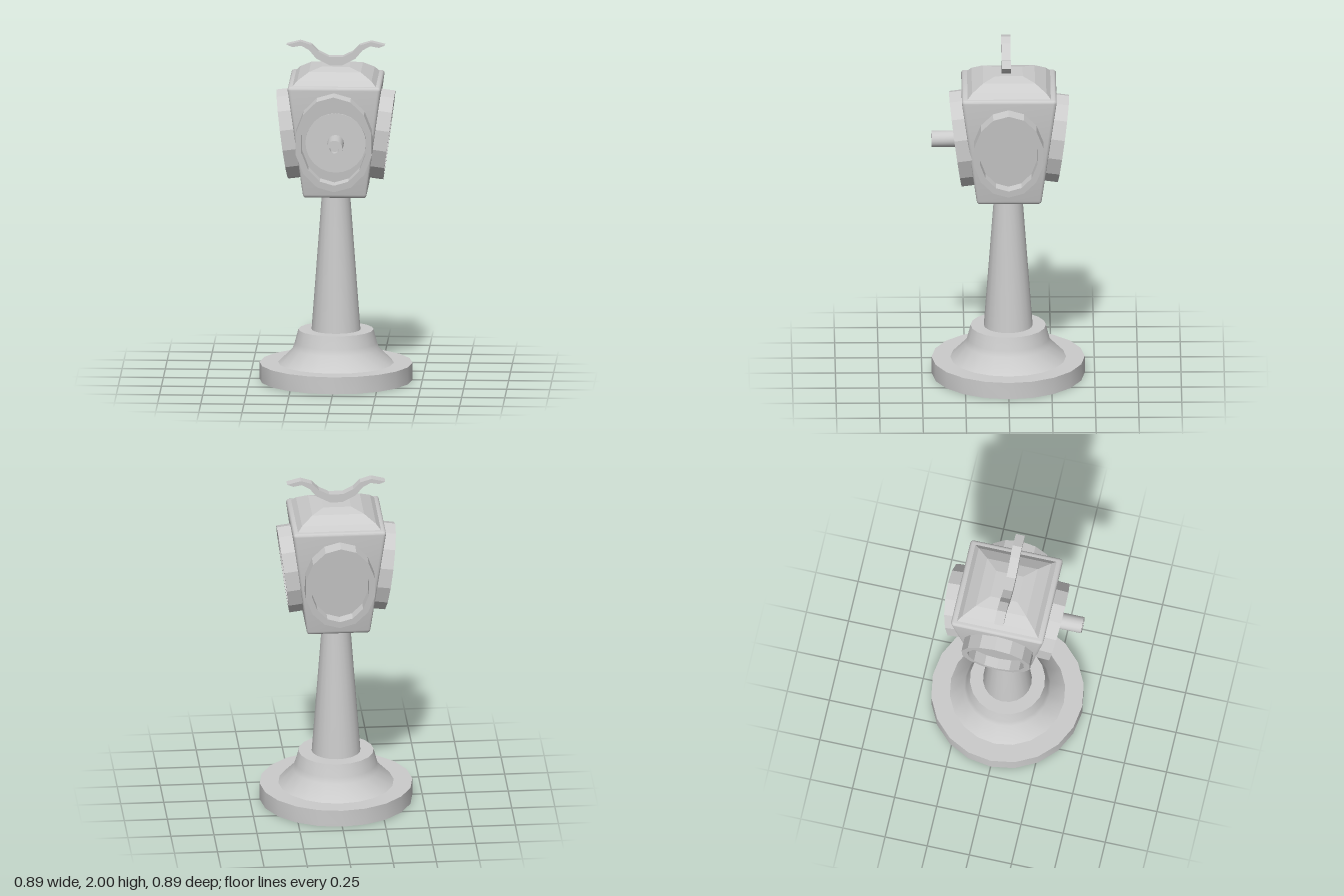
import * as THREE from 'three';
import { toCreasedNormals } from 'three/addons/utils/BufferGeometryUtils.js';
import { RoundedBoxGeometry } from 'three/addons/geometries/RoundedBoxGeometry.js';

const smooth = new THREE.MeshStandardMaterial({ color: 0xcccccc });
const flat = new THREE.MeshStandardMaterial({ color: 0xcccccc, flatShading: true });

function part(name, geometry, material = smooth) {
  const mesh = new THREE.Mesh(geometry, material);
  mesh.name = name;
  return mesh;
}

function turned(points, sides, start = 0) {
  const profile = points.map(([r, y]) => new THREE.Vector2(r, y));
  return toCreasedNormals(new THREE.LatheGeometry(profile, sides, start), 0.6);
}

// 14-sided oval with a corner at the top
function oval(rx, ry) {
  const pts = [];
  for (let i = 0; i < 14; i++) {
    const a = (i / 14) * Math.PI * 2;
    pts.push(new THREE.Vector2(-Math.sin(a) * rx, Math.cos(a) * ry));
  }
  return pts;
}

// Oval bezel with a recessed pane, leaning with the wall of the head
function window_(name, angle, front, rx, ry) {
  const turn = new THREE.Group();
  turn.name = name;
  turn.rotation.y = angle;
  const lean = new THREE.Group();
  lean.position.set(0, 1.445, front);
  lean.rotation.x = 0.132;
  turn.add(lean);

  const ring = new THREE.Shape(oval(rx, ry));
  ring.holes.push(new THREE.Path(oval(rx - 0.036, ry - 0.04)));
  const bezel = part('bezel', new THREE.ExtrudeGeometry(ring, { depth: 0.11, bevelEnabled: false }), flat);
  bezel.position.z = -0.11;
  const pane = part('pane', new THREE.ShapeGeometry(new THREE.Shape(oval(rx - 0.03, ry - 0.03))), flat);
  pane.position.z = -0.06;
  lean.add(bezel, pane);
  return turn;
}

export function createModel() {
  const model = new THREE.Group();
  model.name = 'pedestalViewer';

  // Base, plinth and tapered column
  model.add(part('base', turned([[0, 0], [0.443, 0], [0.443, 0.1], [0, 0.1]], 20)));
  model.add(part('plinth', turned([[0.335, 0.1], [0.25, 0.185], [0.238, 0.22], [0.218, 0.296], [0, 0.296]], 20)));
  model.add(part('column', turned([[0.142, 0.29], [0.08, 1.12]], 20)));

  // Head: rounded box narrowing downwards
  const box = new RoundedBoxGeometry(0.544, 0.67, 0.554, 2, 0.02);
  const pos = box.attributes.position;
  for (let i = 0; i < pos.count; i++) {
    const t = pos.getY(i) / 0.67 + 0.5;
    const s = 0.67 + 0.33 * t;
    pos.setX(i, pos.getX(i) * s);
    pos.setZ(i, pos.getZ(i) * s);
  }
  const head = part('head', toCreasedNormals(box, 0.6));
  head.position.set(0, 1.44, -0.004);
  model.add(head);

  // Domed four-sided roof
  const roofSteps = [[0.25, 1.765], [0.215, 1.803], [0.15, 1.842], [0.08, 1.86], [0, 1.86]];
  const roof = part('roof', turned(roofSteps.map(([r, y]) => [r * Math.SQRT2, y]), 4, Math.PI / 4), flat);
  roof.position.z = -0.004;
  model.add(roof);

  // One window on each wall
  model.add(window_('frontWindow', 0, 0.305, 0.226, 0.29));
  model.add(window_('leftWindow', Math.PI / 2, 0.309, 0.206, 0.265));
  model.add(window_('backWindow', Math.PI, 0.318, 0.206, 0.265));
  model.add(window_('rightWindow', -Math.PI / 2, 0.309, 0.206, 0.265));

  // Front disc with hollow eyepiece
  const eyepiece = new THREE.Group();
  eyepiece.name = 'eyepiece';
  eyepiece.position.set(0.01, 1.45, 0);
  eyepiece.rotation.x = Math.PI / 2;
  eyepiece.add(part('disc', turned([[0.175, 0.2], [0.175, 0.275], [0, 0.275]], 24)));
  eyepiece.add(part('tube', turned(
    [[0.048, 0.26], [0.048, 0.445], [0.027, 0.445], [0.027, 0.4], [0, 0.4]], 16)));
  model.add(eyepiece);

  // Wavy ornament on the roof, mirrored about the middle
  const upper = [[0.04, 1.91], [0.1, 1.94], [0.14, 1.98], [0.205, 2], [0.285, 1.98]];
  const lower = [[0.25, 1.966], [0.2, 1.975], [0.155, 1.95], [0.113, 1.9], [0.035, 1.86]];
  const half = [...upper, ...lower];
  const outline = [...half, ...half.map(([x, y]) => [-x, y]).reverse()];
  const wave = new THREE.Shape(outline.map(([x, y]) => new THREE.Vector2(x, y)));
  const ornament = part('roofOrnament',
    new THREE.ExtrudeGeometry(wave, { depth: 0.054, bevelEnabled: false }), flat);
  ornament.position.z = -0.015;
  model.add(ornament);

  return model;
}
